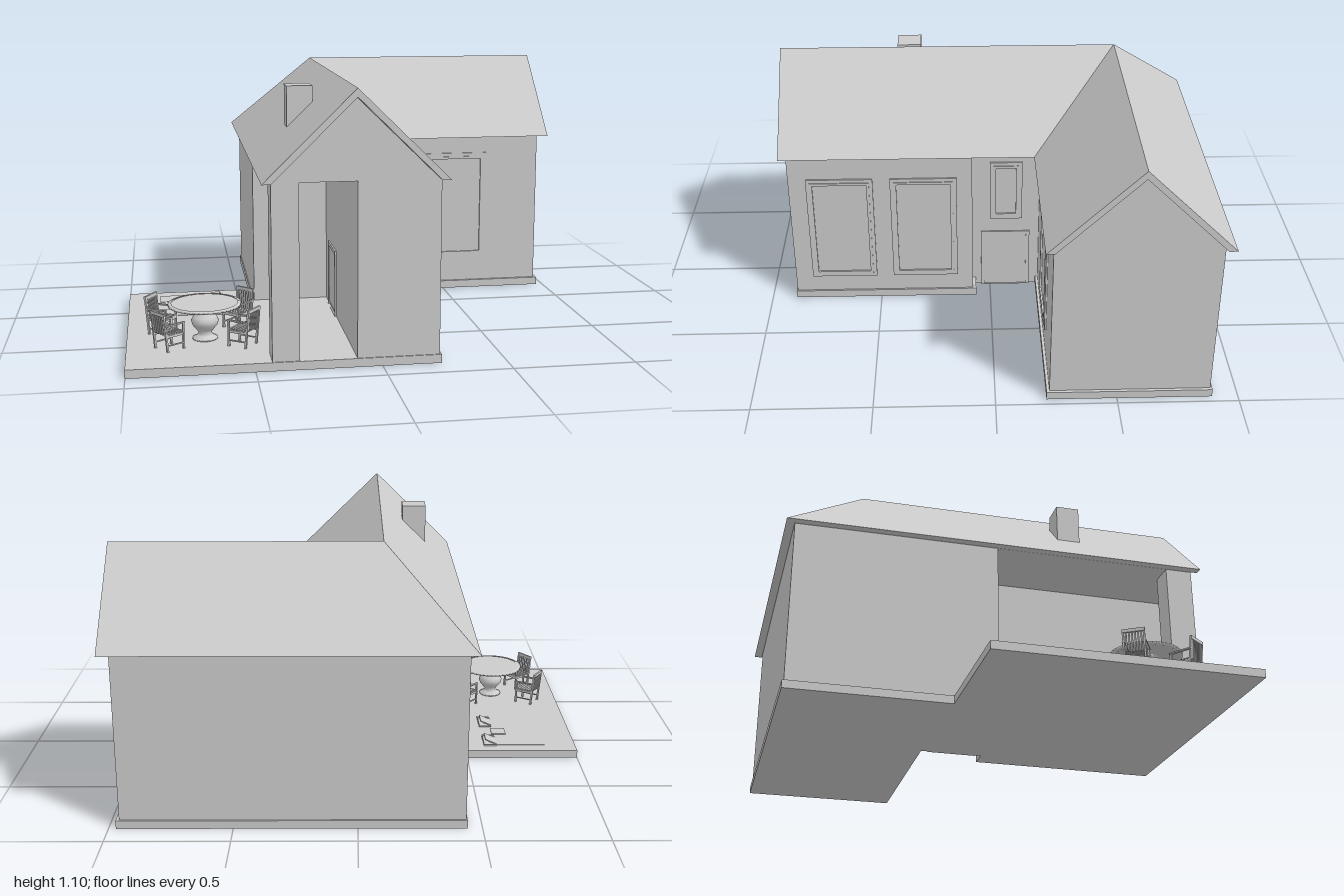
import * as THREE from 'three';

const material = new THREE.MeshStandardMaterial({ color: 0xcccccc, side: THREE.DoubleSide });

function add(parent, name, geometry, x = 0, y = 0, z = 0) {
  const mesh = new THREE.Mesh(geometry, material);
  mesh.name = name;
  mesh.position.set(x, y, z);
  parent.add(mesh);
  return mesh;
}

// Box given by its centre and size
const box = (parent, name, w, h, d, x, y, z) => add(parent, name, new THREE.BoxGeometry(w, h, d), x, y, z);

function group(parent, name, x = 0, y = 0, z = 0, turn = 0) {
  const g = new THREE.Group();
  g.name = name;
  g.position.set(x, y, z);
  g.rotation.y = turn;
  parent.add(g);
  return g;
}

// Floor plan of [x, z] corners raised from y0 to y1
function plan(parent, name, corners, y0, y1) {
  const shape = new THREE.Shape(corners.map(([x, z]) => new THREE.Vector2(x, -z)));
  const geometry = new THREE.ExtrudeGeometry(shape, { depth: y1 - y0, bevelEnabled: false });
  geometry.rotateX(-Math.PI / 2);
  return add(parent, name, geometry, 0, y0, 0);
}

// Sweeps a [u, y] section along the two ridges with a mitred corner
const RIDGE_X = -0.105, RIDGE_Z = -0.555;
function sweepL(section, frontZ, endX) {
  const stations = [
    section.map(([u, y]) => [RIDGE_X + u, y, frontZ]),
    section.map(([u, y]) => [RIDGE_X + u, y, RIDGE_Z + u]),
    section.map(([u, y]) => [endX, y, RIDGE_Z + u]),
  ];
  const out = [];
  for (let s = 0; s < 2; s++) {
    section.forEach((_, i) => {
      const j = (i + 1) % section.length;
      const [a, b, c, d] = [stations[s][i], stations[s][j], stations[s + 1][j], stations[s + 1][i]];
      out.push(...a, ...c, ...b, ...a, ...d, ...c);
    });
  }
  const contour = section.map(([u, y]) => new THREE.Vector2(u, y));
  for (const [i, j, k] of THREE.ShapeUtils.triangulateShape(contour, [])) {
    out.push(...stations[0][i], ...stations[0][j], ...stations[0][k]);
    out.push(...stations[2][i], ...stations[2][k], ...stations[2][j]);
  }
  const geometry = new THREE.BufferGeometry();
  geometry.setAttribute('position', new THREE.Float32BufferAttribute(out, 3));
  geometry.computeVertexNormals();
  return geometry;
}

// Rectangular frame standing on y = 0, facing +z
function ring(w, h, band, depth, inset, openBottom) {
  const y0 = openBottom ? 0 : inset;
  const rect = (Path, x, b, t) => new Path([[-x, b], [x, b], [x, t], [-x, t]].map((p) => new THREE.Vector2(...p)));
  const shape = rect(THREE.Shape, w / 2 - inset, y0, h - inset);
  shape.holes.push(rect(THREE.Path, w / 2 - inset - band, y0 + (openBottom ? 0.001 : band), h - inset - band));
  return new THREE.ExtrudeGeometry(shape, { depth, bevelEnabled: false });
}

// Window or door with a stepped frame
function opening(parent, name, w, h, x, y, z, turn, isDoor = false) {
  const g = group(parent, name, x, y, z, turn);
  add(g, 'outerFrame', ring(w, h, 0.016, 0.007, 0, isDoor));
  if (!isDoor) add(g, 'innerFrame', ring(w, h, 0.012, 0.011, 0.016, false));
  box(g, isDoor ? 'doorPanel' : 'glass', w - 0.03, h - 0.03, 0.006, 0, h / 2, 0);
}

// Slatted armchair facing +z, standing on y = 0
function chair(parent, x, y, z, turn) {
  const g = group(parent, 'chair', x, y, z, turn);
  for (const side of [-1, 1]) {
    box(g, 'frontLeg', 0.008, 0.105, 0.008, side * 0.041, 0.0525, 0.04);
    const rear = box(g, 'backLeg', 0.008, 0.158, 0.008, side * 0.041, 0.078, -0.047);
    rear.rotation.x = -0.1;
    box(g, 'armrest', 0.011, 0.006, 0.098, side * 0.042, 0.108, -0.004);
    box(g, 'sideRail', 0.006, 0.01, 0.085, side * 0.039, 0.062, 0);
    box(g, 'stretcher', 0.005, 0.005, 0.085, side * 0.041, 0.025, 0);
  }
  for (let i = 0; i < 7; i++) box(g, 'seatSlat', 0.082, 0.005, 0.009, 0, 0.07, -0.036 + i * 0.0125);
  for (let i = 0; i < 6; i++) {
    const slat = box(g, 'backSlat', 0.006, 0.085, 0.004, -0.03 + i * 0.012, 0.11, -0.05);
    slat.rotation.x = -0.1;
  }
  box(g, 'topRail', 0.09, 0.014, 0.009, 0, 0.153, -0.055);
  box(g, 'frontRail', 0.08, 0.01, 0.006, 0, 0.062, 0.04);
}

export function createModel() {
  const model = new THREE.Group();
  model.name = 'house';
  const FLOOR = 0.035, EAVE = 0.74;

  // Base slab with patio, notched at the entrance
  plan(model, 'slab', [[-0.44, -0.893], [0.97, -0.893], [0.97, -0.21], [0.15, -0.21], [0.15, 0.065],
    [0.238, 0.065], [0.238, 0.89], [-1, 0.89], [-1, -0.2], [-0.44, -0.2]], 0, FLOOR);

  // Walls, leaving a covered porch beside the front wing
  plan(model, 'walls', [[-0.435, -0.885], [0.957, -0.885], [0.957, -0.222], [0.15, -0.222], [0.15, 0.08],
    [0.23, 0.08], [0.23, 0.885], [-0.1, 0.885], [-0.1, -0.01], [-0.435, -0.01]], 0.002, EAVE);
  box(model, 'porchPillar', 0.108, EAVE - FLOOR, 0.118, -0.381, (EAVE + FLOOR) / 2, 0.826);

  // Gables with porch ceiling, and the roof shell over them
  add(model, 'gables', sweepL([[0.33, EAVE], [0, 1.063], [-0.33, EAVE]], 0.885, 0.957));
  add(model, 'roof', sweepL([[0.367, EAVE], [0, 1.1], [-0.367, EAVE],
    [-0.331, EAVE], [0, 1.065], [0.331, EAVE]], 0.915, 1));
  box(model, 'chimney', 0.108, 0.26, 0.104, -0.267, 0.93, 0.353);

  // Windows and doors
  const right = Math.PI / 2;
  for (const z of [0.295, 0.662]) opening(model, 'sideWindow', 0.292, 0.51, 0.23, 0.115, z, right);
  opening(model, 'frontWindow', 0.292, 0.51, 0.559, 0.152, -0.222, 0);
  opening(model, 'entranceWindow', 0.145, 0.292, 0.15, 0.362, -0.072, right);
  opening(model, 'entranceDoor', 0.22, 0.292, 0.15, 0, -0.07, right, true);
  opening(model, 'porchDoor', 0.22, 0.292, -0.1, FLOOR, 0.2, -right, true);

  // Round table on a turned pedestal
  const tableX = -0.68, tableZ = 0.535;
  const table = group(model, 'table', tableX, FLOOR, tableZ);
  const profile = [[0, 0], [0.052, 0], [0.052, 0.008], [0.034, 0.016], [0.026, 0.028], [0.036, 0.042],
    [0.052, 0.062], [0.057, 0.08], [0.048, 0.096], [0.033, 0.108], [0.032, 0.118], [0.05, 0.132], [0.05, 0.142], [0, 0.142]];
  add(table, 'pedestal', new THREE.LatheGeometry(profile.map((p) => new THREE.Vector2(...p)), 32));
  add(table, 'tableTop', new THREE.CylinderGeometry(0.137, 0.137, 0.01, 48), 0, 0.147, 0);
  const rim = [[0.136, 0.142], [0.15, 0.144], [0.15, 0.152], [0.136, 0.154]];
  add(table, 'tableRim', new THREE.LatheGeometry(rim.map((p) => new THREE.Vector2(...p)), 48));

  // Chairs facing the table
  for (const [x, z] of [[-0.853, 0.428], [-0.538, 0.388], [-0.827, 0.642], [-0.533, 0.642]]) {
    chair(model, x, FLOOR, z, Math.atan2(tableX - x, tableZ - z));
  }

  // Low loungers and a small square side table
  for (const z of [-0.085, 0.14]) {
    const lounger = group(model, 'lounger', 0, FLOOR, z);
    box(lounger, 'bed', 0.22, 0.003, 0.1, -0.75, 0.0005, 0);
    const head = box(lounger, 'headrest', 0.055, 0.005, 0.075, -0.615, 0.01, 0);
    head.rotation.z = 0.4;
    for (const side of [-1, 1]) box(lounger, 'rail', 0.055, 0.006, 0.004, -0.61, 0.003, side * 0.057);
    box(lounger, 'endRail', 0.004, 0.006, 0.118, -0.583, 0.003, 0);
  }
  box(model, 'sideTable', 0.066, 0.004, 0.068, -0.663, FLOOR + 0.002, 0.025);

  return model;
}
